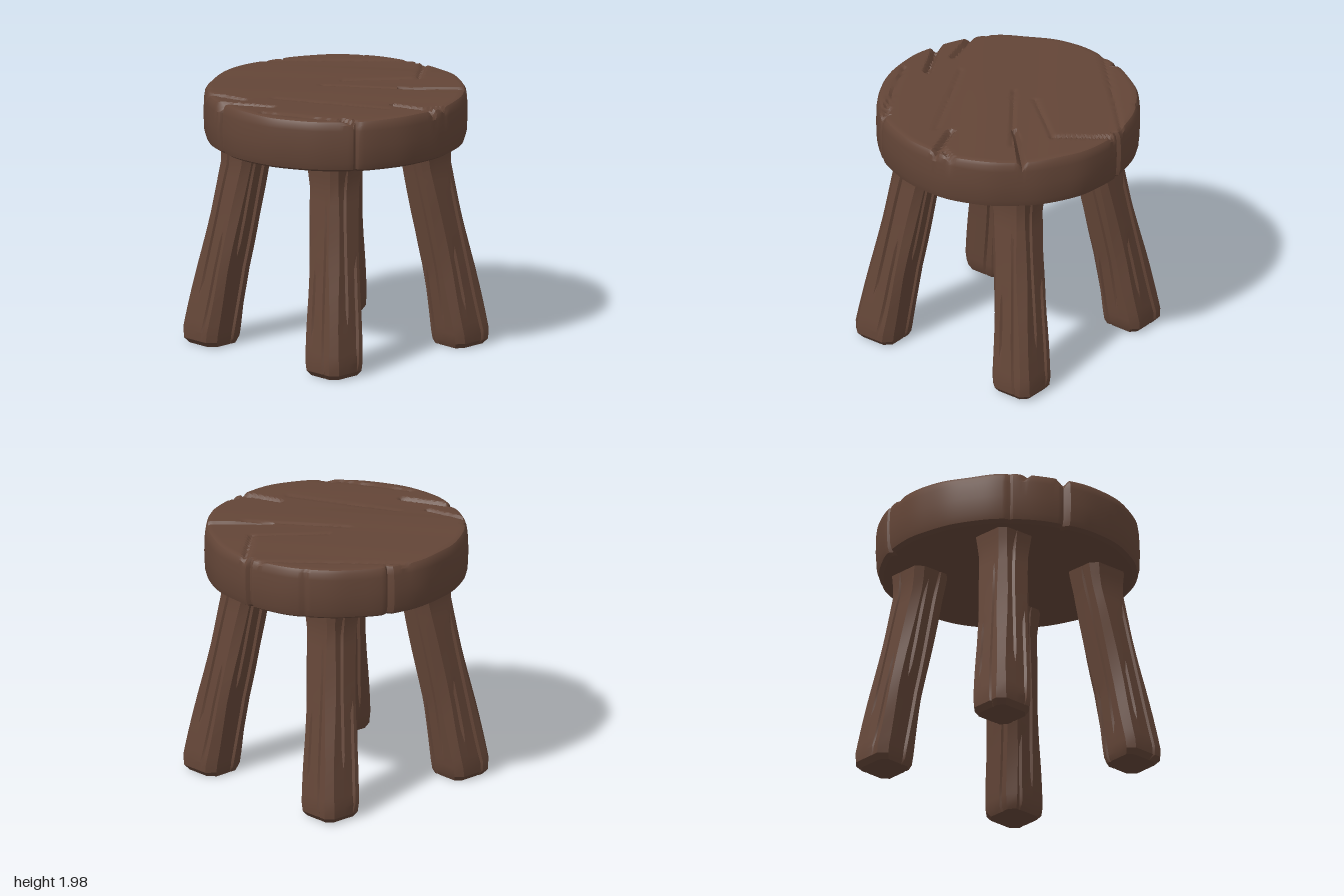
import * as THREE from 'three';
import { toCreasedNormals } from 'three/addons/utils/BufferGeometryUtils.js';

// Skin a stack of closed rings (bottom to top) and cap both ends
function loft(rings, crease) {
  const n = rings[0].length, pos = [], idx = [];
  rings.forEach(r => r.forEach(p => pos.push(p.x, p.y, p.z)));
  for (let i = 0; i < rings.length - 1; i++) {
    for (let j = 0; j < n; j++) {
      const a = i * n + j, b = i * n + (j + 1) % n;
      idx.push(a, a + n, b, b, a + n, b + n);
    }
  }
  const cap = (start, ring, up) => {
    const c = ring.reduce((s, p) => s.add(p), new THREE.Vector3()).divideScalar(n);
    const k = pos.push(c.x, c.y, c.z) / 3 - 1;
    for (let j = 0; j < n; j++) {
      const a = start + j, b = start + (j + 1) % n;
      idx.push(k, up ? b : a, up ? a : b);
    }
  };
  cap(0, rings[0], false);
  cap((rings.length - 1) * n, rings[rings.length - 1], true);
  const g = new THREE.BufferGeometry();
  g.setAttribute('position', new THREE.Float32BufferAttribute(pos, 3));
  g.setIndex(idx);
  return toCreasedNormals(g, crease);
}

// Distance from a point to a segment in the xz plane
function segmentDistance(x, z, [ax, az, bx, bz]) {
  const dx = bx - ax, dz = bz - az;
  const t = THREE.MathUtils.clamp(((x - ax) * dx + (z - az) * dz) / (dx * dx + dz * dz), 0, 1);
  return Math.hypot(x - ax - t * dx, z - az - t * dz);
}

// Cracks in the top: x1, z1, x2, z2, half width, depth
const TOP_CRACKS = [
  [-1.0, -0.17, -0.70, 0.20, 0.035, 0.05],
  [-0.92, -0.45, -0.75, -0.09, 0.03, 0.04],
  [0.40, 0.27, 0.86, 0.57, 0.03, 0.05],
  [0.10, 0.64, 0.28, 0.95, 0.035, 0.045],
  [0.22, 0.84, 0.44, 0.90, 0.03, 0.03],
  [-0.85, 0.30, -0.38, 0.92, 0.025, 0.02],
  [-0.45, 0.78, -0.38, 0.93, 0.03, 0.04],
  [1.0, -0.32, 0.66, 0.12, 0.03, 0.025],
  [0.66, 0.12, 0.15, -0.14, 0.03, 0.012],
  [-0.10, -1.0, 0.92, -0.34, 0.03, 0.014],
  [-0.05, -0.10, 0.55, 0.42, 0.03, 0.012],
  [-0.55, 0.0, 0.0, 0.70, 0.03, 0.01],
];
// Splits down the rim: direction x, z, half angle, depth
const RIM_CRACKS = [
  [-1, -0.08, 0.03, 0.045], [0.96, -0.30, 0.03, 0.04], [0.7, -0.7, 0.02, 0.02],
  [0.12, -0.98, 0.03, 0.04], [-0.4, 0.9, 0.025, 0.025], [-0.85, -0.5, 0.02, 0.02],
];

function seatGeometry() {
  const SEG = 300;
  const profile = [[0.5, 1.585], [0.93, 1.58], [0.965, 1.60], [0.98, 1.65], [0.986, 1.78],
    [0.982, 1.90], [0.975, 1.95], [0.96, 1.973], [0.94, 1.98]];
  for (let i = 1; i <= 40; i++) profile.push([0.94 - i * 0.023, 1.98 + 0.008 * i / 40]);
  const rings = profile.map(([r0, y0]) => Array.from({ length: SEG }, (_, j) => {
    const a = j / SEG * Math.PI * 2;
    let r = r0 * (1 + 0.003 * Math.sin(7 * a + y0 * 4) + 0.002 * Math.sin(17 * a)), y = y0;
    if (r0 > 0.9) {
      for (const [cx, cz, w, d] of RIM_CRACKS) {
        let da = Math.abs(a - Math.atan2(cz, cx)) % (Math.PI * 2);
        da = Math.min(da, Math.PI * 2 - da);
        r -= d * Math.max(0, 1 - da / w);
      }
    }
    const x = r * Math.cos(a), z = r * Math.sin(a);
    if (y0 > 1.94) {
      // worn planks run diagonally across the top
      y += 0.004 * Math.sin(11 * (0.75 * z - 0.66 * x)) - 0.004;
      let cut = 0;
      for (const c of TOP_CRACKS) {
        cut = Math.max(cut, c[5] * Math.max(0, 1 - segmentDistance(x, z, c) / c[4]));
      }
      y -= cut;
    }
    return new THREE.Vector3(x, y, z);
  }));
  return loft(rings, 0.5);
}

// Leg stations: height, distance from the stool's axis, half width
const STATIONS = [[0.01, 0.92, 0.145], [0.05, 0.93, 0.172], [0.12, 0.925, 0.178], [0.6, 0.84, 0.162],
  [1.0, 0.755, 0.156], [1.4, 0.675, 0.152], [1.52, 0.66, 0.163], [1.62, 0.655, 0.175]];
// Grain cracks on each of the four faces: place across, from height, to height, depth
const GRAIN = [
  [[-0.35, 0.0, 1.3, 0.03], [0.3, 0.3, 0.8, 0.025]],
  [[-0.2, 0.2, 1.6, 0.03], [0.45, 0.0, 0.6, 0.025]],
  [[-0.3, 0.0, 1.62, 0.035], [0.35, 0.7, 1.5, 0.025]],
  [[-0.4, 0.1, 0.9, 0.025], [0.2, 0.4, 1.55, 0.03]],
];

function stationAt(y) {
  let i = 0;
  while (i < STATIONS.length - 2 && y > STATIONS[i + 1][0]) i++;
  const [y0, c0, h0] = STATIONS[i], [y1, c1, h1] = STATIONS[i + 1];
  const t = (y - y0) / (y1 - y0);
  return [c0 + (c1 - c0) * t, h0 + (h1 - h0) * t];
}

function legGeometry() {
  const heights = [0.01, 0.05, 0.12];
  for (let y = 0.2; y < 1.61; y += 0.1) heights.push(y);
  heights.push(1.62);
  const rings = heights.map(y => {
    const [centre, h] = stationAt(y), ring = [];
    GRAIN.forEach((cracks, side) => {
      const turn = side * Math.PI / 2 + Math.PI / 4;
      const add = (u, v) => ring.push(new THREE.Vector3(
        centre + u * Math.cos(turn) - v * Math.sin(turn), y,
        u * Math.sin(turn) + v * Math.cos(turn)));
      // one face with chamfered ends and V-shaped cracks
      const k = h * (0.68 + 0.05 * Math.sin(y * 5 + side * 2));
      add(h, -k);
      for (const [at, from, to, depth] of cracks) {
        const f = THREE.MathUtils.clamp((y - from) / (to - from), 0, 1);
        const d = depth * Math.sqrt(Math.sin(Math.PI * f) + 1e-9);
        const v = at * h + 0.008 * Math.sin(y * 4 + side);
        add(h, v - 0.014);
        add(h - d, v);
        add(h - d * 0.1, v + 0.014);
      }
      add(h, k);
    });
    return ring;
  });
  return loft(rings, 0.45);
}

export function createModel() {
  const wood = new THREE.MeshStandardMaterial({ color: 0x634537 });
  wood.name = 'darkWood';
  const model = new THREE.Group();
  model.name = 'stool';

  const seat = new THREE.Mesh(seatGeometry(), wood);
  seat.name = 'seat';
  model.add(seat);

  // Four splayed legs, a quarter turn apart
  const geometry = legGeometry();
  ['frontLeftLeg', 'backLeftLeg', 'backRightLeg', 'frontRightLeg'].forEach((name, i) => {
    const leg = new THREE.Mesh(geometry, wood);
    leg.name = name;
    leg.rotation.y = THREE.MathUtils.degToRad(-33.6 + 90 * i);
    model.add(leg);
  });
  return model;
}
